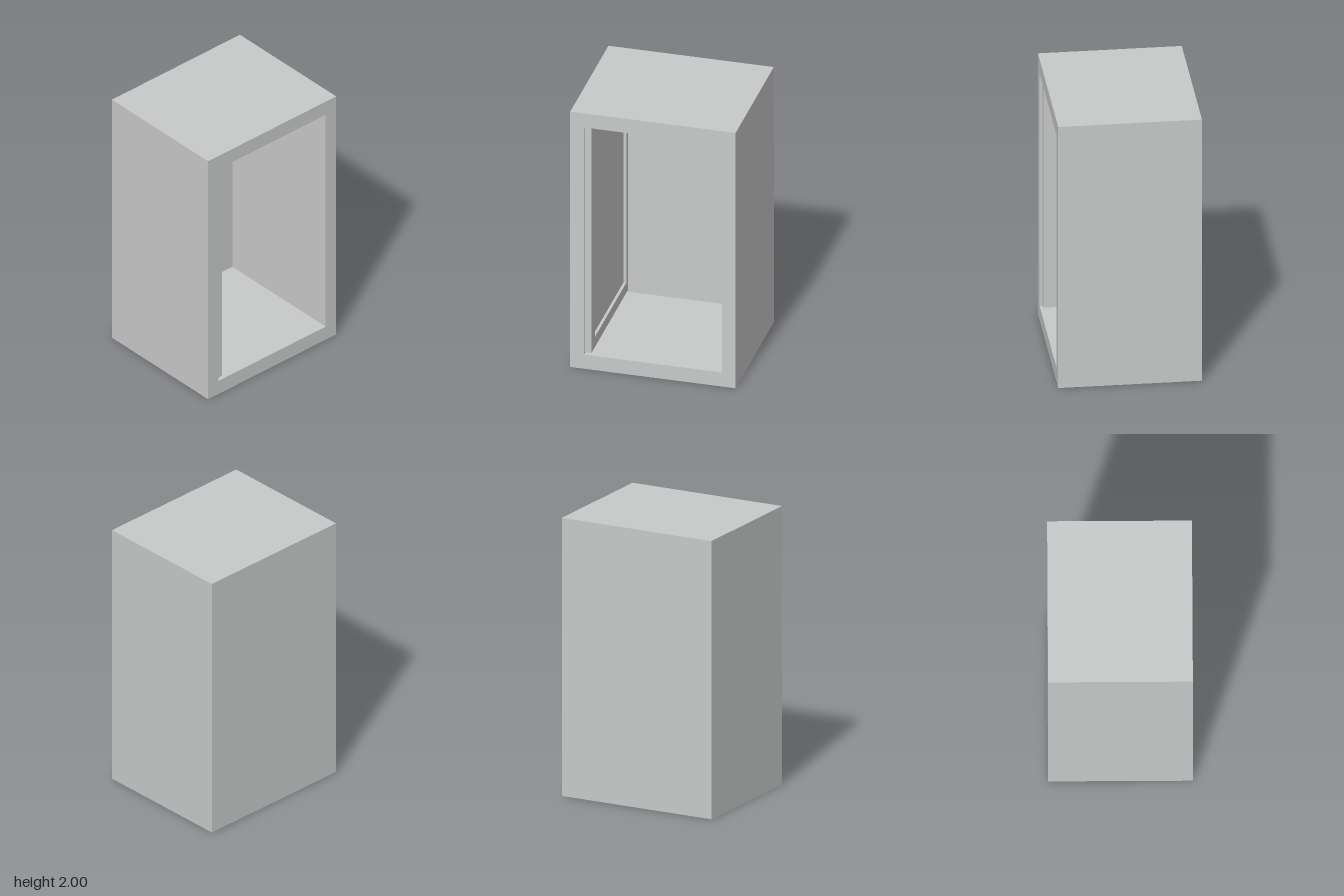
import * as THREE from 'three';

// Rectangular frame in the XY plane, extruded along +z
function frameGeometry(outer, inner, depth) {
  const corners = ([x0, y0, x1, y1]) => [
    new THREE.Vector2(x0, y0), new THREE.Vector2(x1, y0),
    new THREE.Vector2(x1, y1), new THREE.Vector2(x0, y1),
  ];
  const shape = new THREE.Shape(corners(outer));
  shape.holes.push(new THREE.Path(corners(inner).reverse()));
  return new THREE.ExtrudeGeometry(shape, { depth, bevelEnabled: false });
}

export function createModel() {
  const model = new THREE.Group();
  model.name = 'cabinet';
  const grey = new THREE.MeshStandardMaterial({ color: 0xc8cac9 });
  grey.name = 'light grey';

  const add = (name, geometry, x, y, z) => {
    const mesh = new THREE.Mesh(geometry, grey);
    mesh.name = name;
    mesh.position.set(x, y, z);
    model.add(mesh);
    return mesh;
  };

  // Thick-walled casing, open at the front
  add('casing', frameGeometry([-0.592, 0, 0.592, 2], [-0.495, 0.11, 0.495, 1.89], 0.97), 0, 0, -0.47);
  add('backWall', new THREE.BoxGeometry(1.184, 2, 0.03), 0, 1, -0.485);

  // Door folded back along the right inner wall, with a sunken panel
  const doorFrame = frameGeometry([-0.48, 0.12, 0.47, 1.88], [-0.39, 0.2, 0.43, 1.8], 0.05);
  doorFrame.rotateY(Math.PI / 2);
  add('doorFrame', doorFrame, -0.495, 0, 0);
  add('doorPanel', new THREE.BoxGeometry(0.03, 1.6, 0.82), -0.48, 1, -0.02);

  return model;
}
